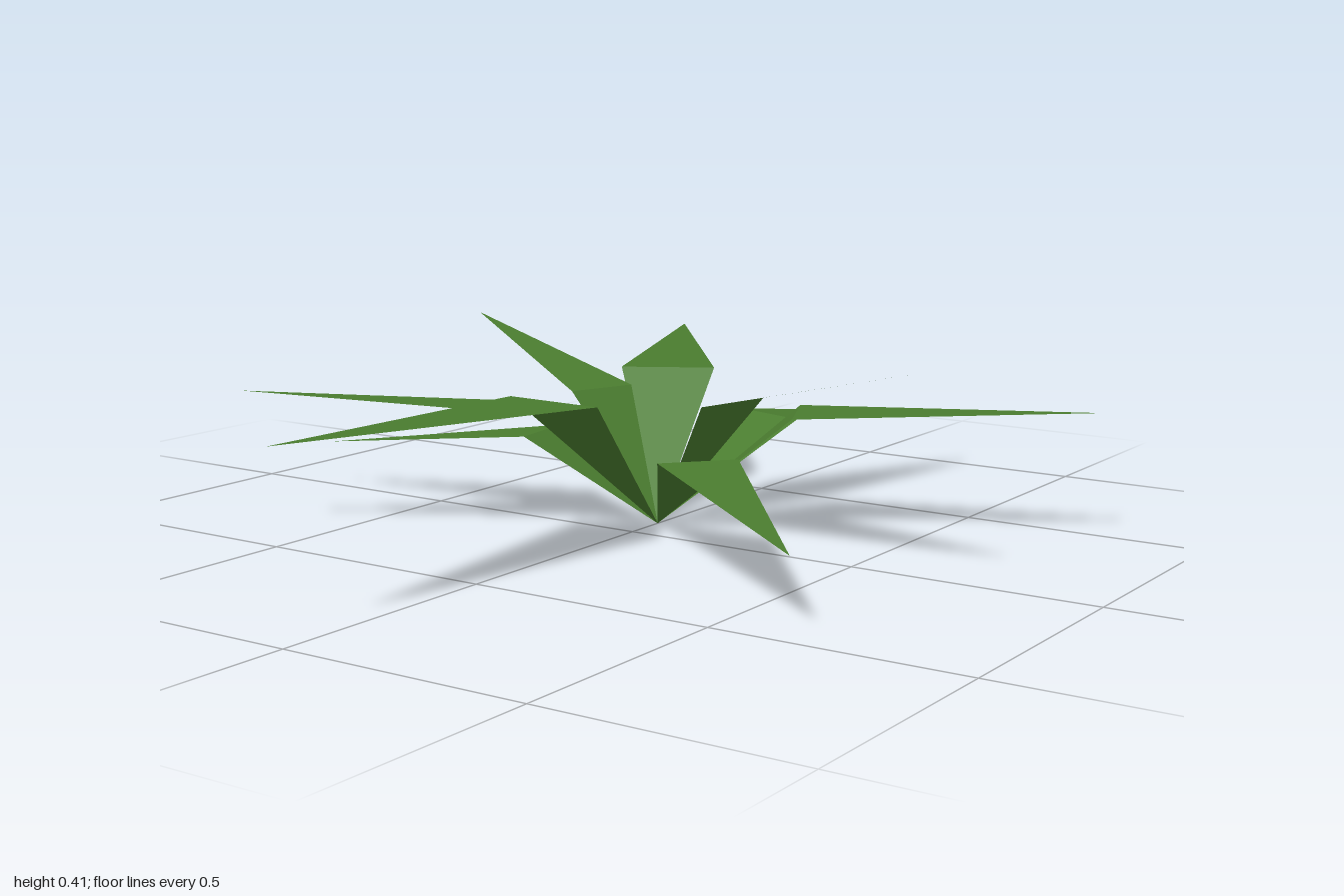
import * as THREE from 'three';

// One blade per row: tip x, tip z (from the root), tip height,
// distance of the bend from the root, bend height, half width at the bend
const BLADES = [
  [-0.035, 1.08, 0.33, 0.338, 0.30, 0.105],
  [0.635, 0.55, 0.135, 0.293, 0.187, 0.08],
  [0.755, 0.195, 0.415, 0.22, 0.28, 0.083],
  [0.80, -0.365, 0.257, 0.281, 0.24, 0.085],
  [0.25, -0.865, 0.13, 0.308, 0.193, 0.086],
  [-0.53, -0.905, 0.27, 0.342, 0.27, 0.101],
  [-0.66, -0.25, 0.36, 0.204, 0.253, 0.075],
  [-0.795, 0.105, 0.10, 0.27, 0.17, 0.076],
  [-0.63, 0.54, 0.29, 0.26, 0.245, 0.08],
];

// Flat blade: a triangle rising from the root, then a long one out to the tip
function bladeGeometry([tipX, tipZ, tipY, bend, bendY, half]) {
  const out = new THREE.Vector3(tipX, 0, tipZ).normalize();
  const side = new THREE.Vector3(-out.z, 0, out.x);
  const root = new THREE.Vector3();
  const tip = new THREE.Vector3(tipX, tipY, tipZ);
  const corner = (s) => out.clone().multiplyScalar(bend).addScaledVector(side, s * half).setY(bendY);
  const a = corner(1);
  const b = corner(-1);
  const geometry = new THREE.BufferGeometry().setFromPoints([root, a, b, a, tip, b]);
  geometry.computeVertexNormals();
  return geometry;
}

export function createModel() {
  const model = new THREE.Group();
  model.name = 'plant';
  const green = new THREE.MeshStandardMaterial({
    color: 0x4a7c2f, flatShading: true, side: THREE.DoubleSide,
  });

  // Rosette of leaves sharing one root point
  const rosette = new THREE.Group();
  rosette.name = 'leafRosette';
  rosette.position.z = -0.09;
  BLADES.forEach((blade, i) => {
    const leaf = new THREE.Mesh(bladeGeometry(blade), green);
    leaf.name = `leaf${i + 1}`;
    rosette.add(leaf);
  });
  model.add(rosette);
  return model;
}
